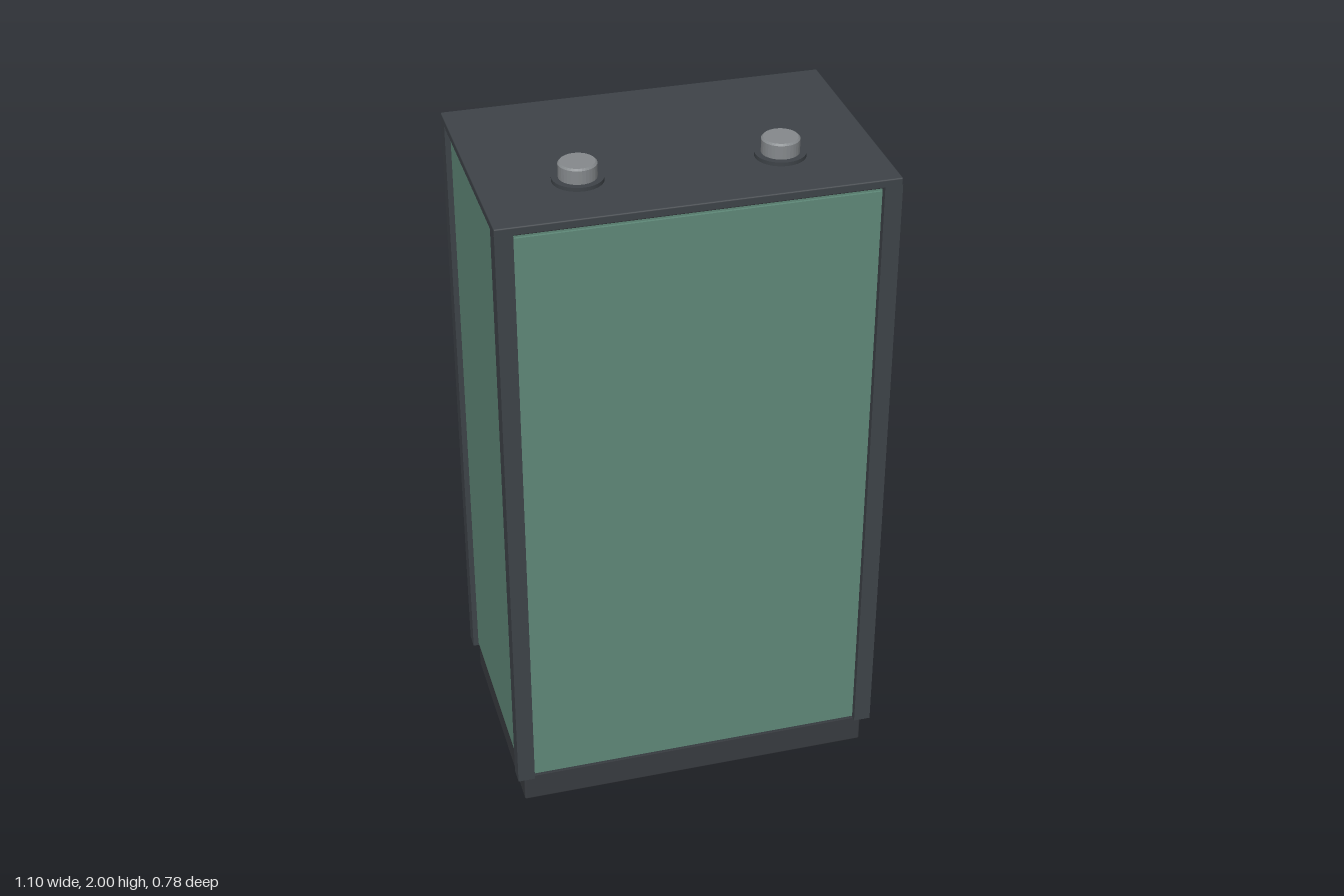
import * as THREE from 'three';
import { RoundedBoxGeometry } from 'three/addons/geometries/RoundedBoxGeometry.js';

const mat = (name, color) => {
  const m = new THREE.MeshStandardMaterial({ color });
  m.name = name;
  return m;
};

export function createModel() {
  const group = new THREE.Group();
  const dark = mat('frame charcoal', 0x3e4348);
  const black = mat('plinth charcoal', 0x383b40);
  const green = mat('panel green', 0x5f8878);
  const grey = mat('cap grey', 0x85898c);
  const silver = mat('handle silver', 0xc6c6ca);
  const red = mat('knob red', 0x981b1e);
  const blue = mat('screen blue', 0x2f6fb5);
  const glass = mat('window blue grey', 0x7c95ad);

  const add = (name, geometry, material, x, y, z) => {
    const mesh = new THREE.Mesh(geometry, material);
    mesh.name = name;
    mesh.position.set(x, y, z);
    group.add(mesh);
    return mesh;
  };
  // Box given by its limits, with an optional rounded edge
  const box = (name, material, [x0, x1], [y0, y1], [z0, z1], r = 0) => {
    const size = [x1 - x0, y1 - y0, z1 - z0];
    const geometry = r ? new RoundedBoxGeometry(...size, 2, r) : new THREE.BoxGeometry(...size);
    return add(name, geometry, material, (x0 + x1) / 2, (y0 + y1) / 2, (z0 + z1) / 2);
  };

  // Plinth, floor and lid
  box('plinth', black, [-0.53, 0.53], [0, 0.093], [-0.31, 0.365], 0.006);
  box('floor', dark, [-0.53, 0.53], [0.09, 0.098], [-0.315, 0.365]);
  box('lid', dark, [-0.552, 0.552], [1.92, 1.945], [-0.336, 0.386], 0.004);

  // Cabinet core, with slightly raised panels set behind the corner posts
  box('core', green, [-0.53, 0.53], [0.097, 1.922], [-0.315, 0.365]);
  for (const [name, z0, z1] of [['frontPanel', 0.36, 0.372], ['backPanel', -0.322, -0.31]])
    box(name, green, [-0.5, 0.5], [0.11, 1.905], [z0, z1]);
  for (const [name, s] of [['leftPanel', 1], ['rightPanel', -1]])
    box(name, green, s > 0 ? [0.525, 0.537] : [-0.537, -0.525], [0.11, 1.905], [-0.28, 0.332]);

  // Corner posts
  for (const s of [-1, 1]) {
    const x = s > 0 ? [0.502, 0.552] : [-0.552, -0.502];
    box('frontPost', dark, x, [0.095, 1.925], [0.336, 0.386]);
    box('backPost', dark, x, [0.095, 1.925], [-0.336, -0.286]);
  }

  // Roof caps on flanges
  const capProfile = [[0, 0], [0.053, 0], [0.053, 0.04], [0.048, 0.045], [0, 0.045]];
  for (const x of [-0.28, 0.28]) {
    add('capFlange', new THREE.CylinderGeometry(0.071, 0.071, 0.012, 32), dark, x, 1.95, 0.168);
    const cap = new THREE.ExtrudeGeometry(new THREE.Shape().absarc(0, 0, 0.048, 0, Math.PI * 2), {
      depth: 0.04, bevelEnabled: true, bevelThickness: 0.005, bevelSize: 0.005,
      bevelSegments: 1, curveSegments: 16,
    });
    cap.rotateX(-Math.PI / 2);
    add('roofCap', cap, grey, x, 1.955, 0.168);
  }

  // Window and control screen on the back
  box('window', glass, [-0.412, 0.145], [0.585, 1.365], [-0.349, -0.32]);
  box('screenFrame', black, [0.203, 0.46], [1.373, 1.552], [-0.349, -0.32], 0.008);
  box('screen', blue, [0.233, 0.433], [1.395, 1.53], [-0.355, -0.347]);

  // Bent handle with a knob
  const r = 0.023, hx = 0.333, hy = 1.077, hz = -0.362;
  const arm = add('handleArm', new THREE.CylinderGeometry(r, r, 0.468, 20), silver, 0.099, hy, hz);
  arm.rotation.z = Math.PI / 2;
  add('handleGrip', new THREE.CylinderGeometry(r, r, hy - 0.39, 20), silver, hx, (hy + 0.39) / 2, hz);
  add('handleElbow', new THREE.SphereGeometry(r, 20, 14), silver, hx, hy, hz);
  const knobProfile = [[0, -0.019], [0.046, -0.019], [0.053, -0.012], [0.053, 0.012], [0.046, 0.019], [0, 0.019]]
    .map(([x, y]) => new THREE.Vector2(x, y));
  const knob = add('handleKnob', new THREE.LatheGeometry(knobProfile, 24), red, hx, 0.392, -0.371);
  knob.rotation.x = Math.PI / 2;

  return group;
}
